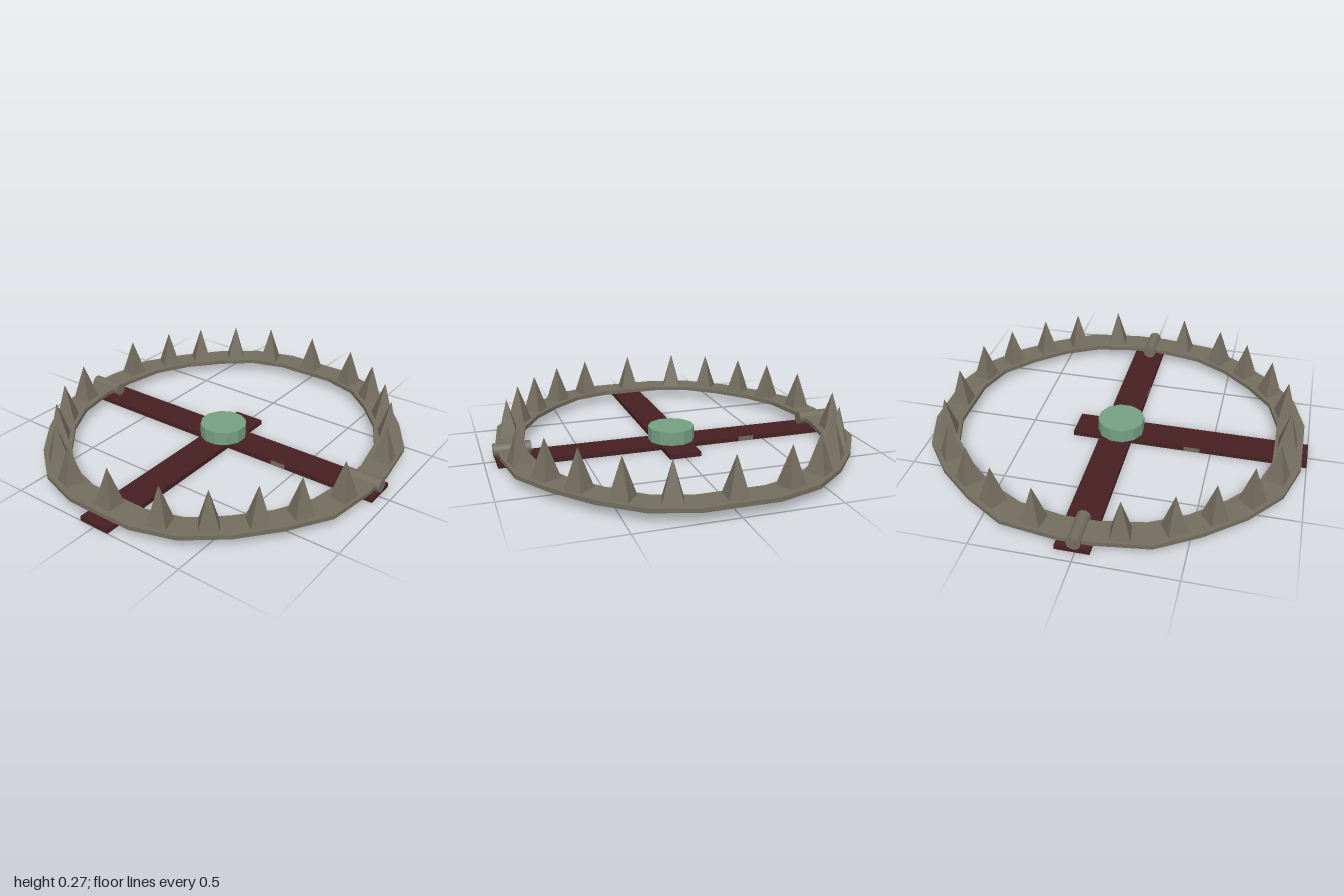
import * as THREE from 'three';

const mat = (name, color) => {
  const m = new THREE.MeshStandardMaterial({ color });
  m.name = name;
  return m;
};

// Flat-shaded copy of a geometry
const faceted = (geometry) => {
  const g = geometry.toNonIndexed();
  g.computeVertexNormals();
  return g;
};

export function createModel() {
  const steel = mat('dull steel', 0x746d5f);
  const rust = mat('dark rust', 0x472022);
  const green = mat('pale green', 0x769f83);

  const model = new THREE.Group();
  model.name = 'jawTrap';
  const add = (name, geometry, material, parent = model) => {
    const mesh = new THREE.Mesh(geometry, material);
    mesh.name = name;
    parent.add(mesh);
    return mesh;
  };
  // Flat slab: outline given as [x, z], rising from y0 to y1; a hole runs the opposite way round
  const slab = (outline, hole, y0, y1) => {
    const toV = ([x, z]) => new THREE.Vector2(x, -z);
    const shape = new THREE.Shape(outline.map(toV));
    if (hole) shape.holes.push(new THREE.Path(hole.map(toV).reverse()));
    return new THREE.ExtrudeGeometry(shape, { depth: y1 - y0, bevelEnabled: false })
      .rotateX(-Math.PI / 2).translate(0, y0, 0);
  };

  // Base cross
  const w = 0.085, l = 0.94, back = -0.1, front = 0.07;
  add('baseCross', slab([
    [-w, -0.25], [w, -0.25], [w, back], [l, back], [l, front], [w, front],
    [w, 1], [-w, 1], [-w, front], [-l, front], [-l, back], [-w, back],
  ], null, 0, 0.025), rust);

  // Small worn plates on the edges of the bars
  for (const [x, z, turn] of [[0.4, front, 0], [-0.4, back, 0], [-w, 0.4, Math.PI / 2]]) {
    const plate = add('edgePlate', new THREE.BoxGeometry(0.085, 0.025, 0.002), steel);
    plate.position.set(x, 0.0125, z);
    plate.rotation.y = turn;
  }

  // Trigger plate
  add('triggerPlate', faceted(new THREE.CylinderGeometry(0.125, 0.125, 0.073, 12)
    .rotateY(Math.PI / 12).translate(0, 0.0615, -0.003)), green);

  // Jaw ring: a quarter profile mirrored around its centre
  const zc = -0.015;
  const outerQ = [[0.185, 0.985], [0.41, 0.915], [0.6, 0.765], [0.76, 0.575], [0.89, 0.365], [0.93, 0.085]];
  const innerQ = [[0.165, 0.84], [0.352, 0.782], [0.507, 0.652], [0.647, 0.492], [0.745, 0.31], [0.787, 0.085]];
  const loop = (q) => {
    const r = [...q].reverse();
    return [
      ...q.map(([x, z]) => [x, zc - z]), ...r.map(([x, z]) => [x, zc + z]),
      ...q.map(([x, z]) => [-x, zc + z]), ...r.map(([x, z]) => [-x, zc - z]),
    ];
  };
  add('jawRing', slab(loop(outerQ), loop(innerQ), 0.05, 0.072), steel);

  // Teeth: one pyramid on each ring segment, turned to follow it
  const teeth = new THREE.Group();
  teeth.name = 'teeth';
  model.add(teeth);
  const toothGeo = faceted(new THREE.ConeGeometry(0.05 * Math.SQRT2, 0.2, 4).rotateY(Math.PI / 4));
  const tooth = (x, z, angle) => {
    const t = add('tooth', toothGeo, steel, teeth);
    t.position.set(x, 0.168, zc + z);
    t.rotation.y = angle;
  };
  const toothSpots = [[0.282, 0.874], [0.478, 0.77], [0.638, 0.612], [0.757, 0.441], [0.847, 0.208]];
  for (const sz of [-1, 1]) {
    tooth(0, sz * 0.905, 0);
    toothSpots.forEach(([x, z], i) => {
      const [a, b] = [outerQ[i], outerQ[i + 1]];
      const angle = Math.atan2(a[1] - b[1], b[0] - a[0]);
      for (const sx of [-1, 1]) tooth(sx * x, sz * z, sx * sz * angle);
    });
  }

  // Hinge pins
  for (const [name, s] of [['leftHinge', 1], ['rightHinge', -1]]) {
    add(name, new THREE.CylinderGeometry(0.036, 0.036, 0.19, 10)
      .rotateZ(Math.PI / 2).translate(s * 0.855, 0.063, -0.004), steel);
  }
  return model;
}
